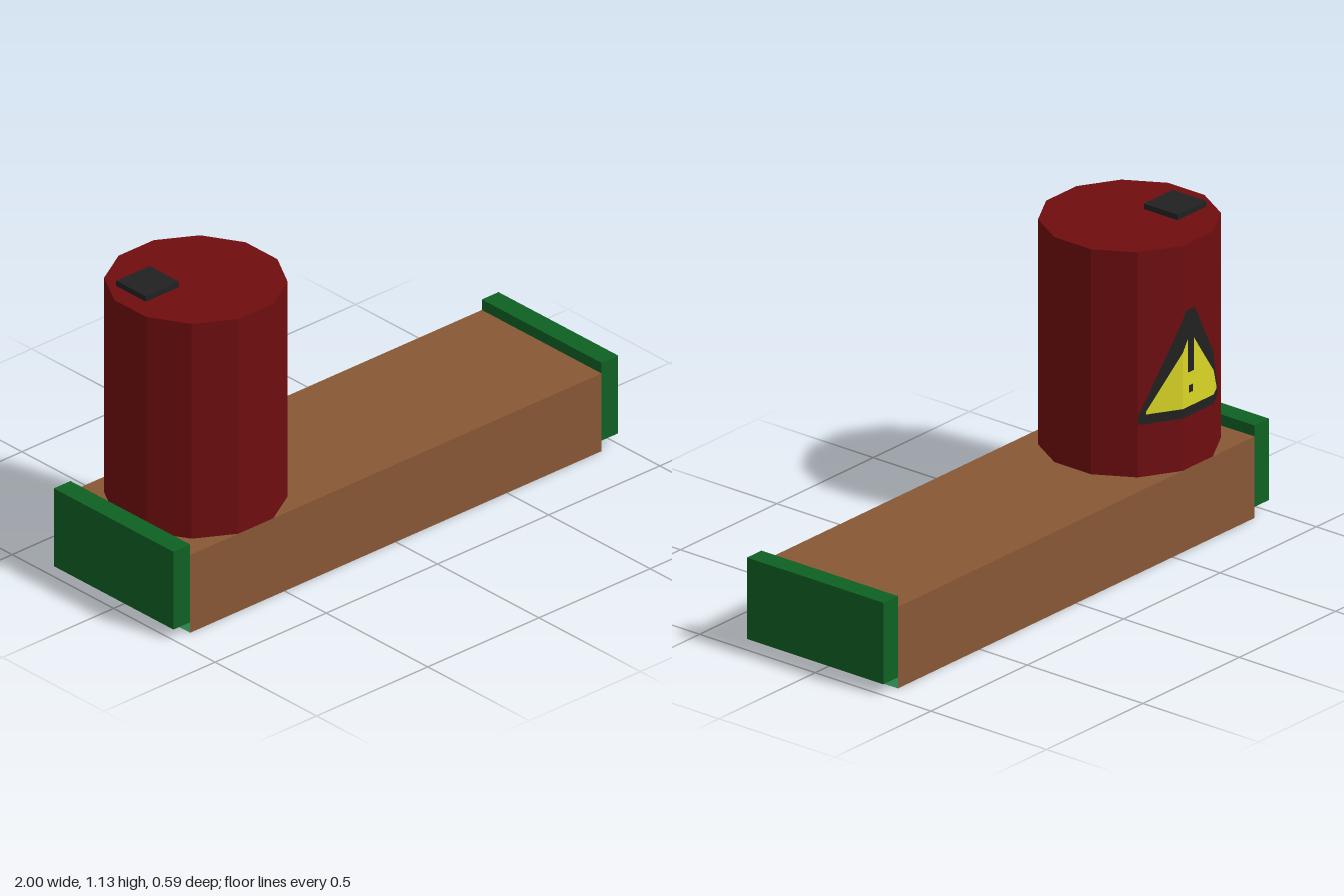
import * as THREE from 'three';

const mat = (name, color) => {
  const m = new THREE.MeshStandardMaterial({ color });
  m.name = name;
  return m;
};

const CAN_X = -0.63, CAN_R = 0.305, CAN_BASE = 0.295, CAN_TOP = 1.11;

// Rim corner k of the twelve-sided barrel, counted from the +x end of the sign towards -x
function corner(k, scale) {
  const a = Math.PI / 4 + k * Math.PI / 6;
  return [CAN_X + Math.cos(a) * CAN_R * scale, -Math.sin(a) * CAN_R * scale];
}

// Thin decal hugging the barrel facets; each column is [facet position, bottom, top]
function decal(columns, lift) {
  const point = (u, y) => {
    const k = Math.min(Math.floor(u), 2), t = u - k;
    const [x0, z0] = corner(k, 1 + lift), [x1, z1] = corner(k + 1, 1 + lift);
    return [x0 + (x1 - x0) * t, y, z0 + (z1 - z0) * t];
  };
  const pos = [];
  for (let i = 0; i + 1 < columns.length; i++) {
    const [ua, a0, a1] = columns[i], [ub, b0, b1] = columns[i + 1];
    const p = point(ua, a0), q = point(ub, b0), r = point(ub, b1), s = point(ua, a1);
    pos.push(...p, ...q, ...r, ...p, ...r, ...s);
  }
  const g = new THREE.BufferGeometry();
  g.setAttribute('position', new THREE.Float32BufferAttribute(pos, 3));
  g.computeVertexNormals();
  return g;
}

export function createModel() {
  const model = new THREE.Group();
  model.name = 'barrelOnBeam';

  const brown = mat('brown wood', 0x875735);
  const green = mat('dark green', 0x0f6123);
  const mint = mat('light green', 0x46c97a);
  const red = mat('dark red', 0x6f0d0f);
  red.flatShading = true;
  const black = mat('black', 0x212122);
  const yellow = mat('yellow', 0xdad626);

  const add = (name, geometry, material, x = 0, y = 0, z = 0) => {
    const mesh = new THREE.Mesh(geometry, material);
    mesh.name = name;
    mesh.position.set(x, y, z);
    model.add(mesh);
    return mesh;
  };

  // Long beam with light green ends
  add('beam', new THREE.BoxGeometry(1.85, 0.295, 0.59),
    [mint, mint, brown, brown, brown, brown], 0, 0.1475, 0);

  // Raised end plates
  for (const side of [-1, 1]) {
    add(side > 0 ? 'leftEndPlate' : 'rightEndPlate',
      new THREE.BoxGeometry(0.075, 0.295, 0.59), green, side * 0.9625, 0.1875, 0);
  }

  // Twelve-sided barrel with flats facing the axes
  add('barrel', new THREE.CylinderGeometry(CAN_R, CAN_R, CAN_TOP - CAN_BASE, 12, 1, false, Math.PI / 12),
    red, CAN_X, (CAN_TOP + CAN_BASE) / 2, 0);

  // Square filler cap
  add('fillerCap', new THREE.BoxGeometry(0.15, 0.02, 0.146), black, -0.78, 1.12, -0.073);

  // Warning triangle on the back
  add('signBorder', decal([
    [0, 0.495, 0.515], [0.05, 0.485, 0.53], [1, 0.485, 0.838], [1.1, 0.485, 0.87],
    [1.4, 0.485, 0.87], [2, 0.485, 0.676], [2.45, 0.485, 0.53], [2.5, 0.495, 0.515],
  ], 0.006), black);
  add('signPanel', decal([
    [0.18, 0.52, 0.53], [1, 0.52, 0.725], [1.2, 0.52, 0.775],
    [1.3, 0.52, 0.775], [2, 0.52, 0.607], [2.32, 0.52, 0.53],
  ], 0.012), yellow);
  add('signBar', decal([[1.15, 0.645, 0.78], [1.35, 0.645, 0.78]], 0.018), black);
  add('signDot', decal([[1.18, 0.57, 0.597], [1.32, 0.57, 0.597]], 0.018), black);

  return model;
}
